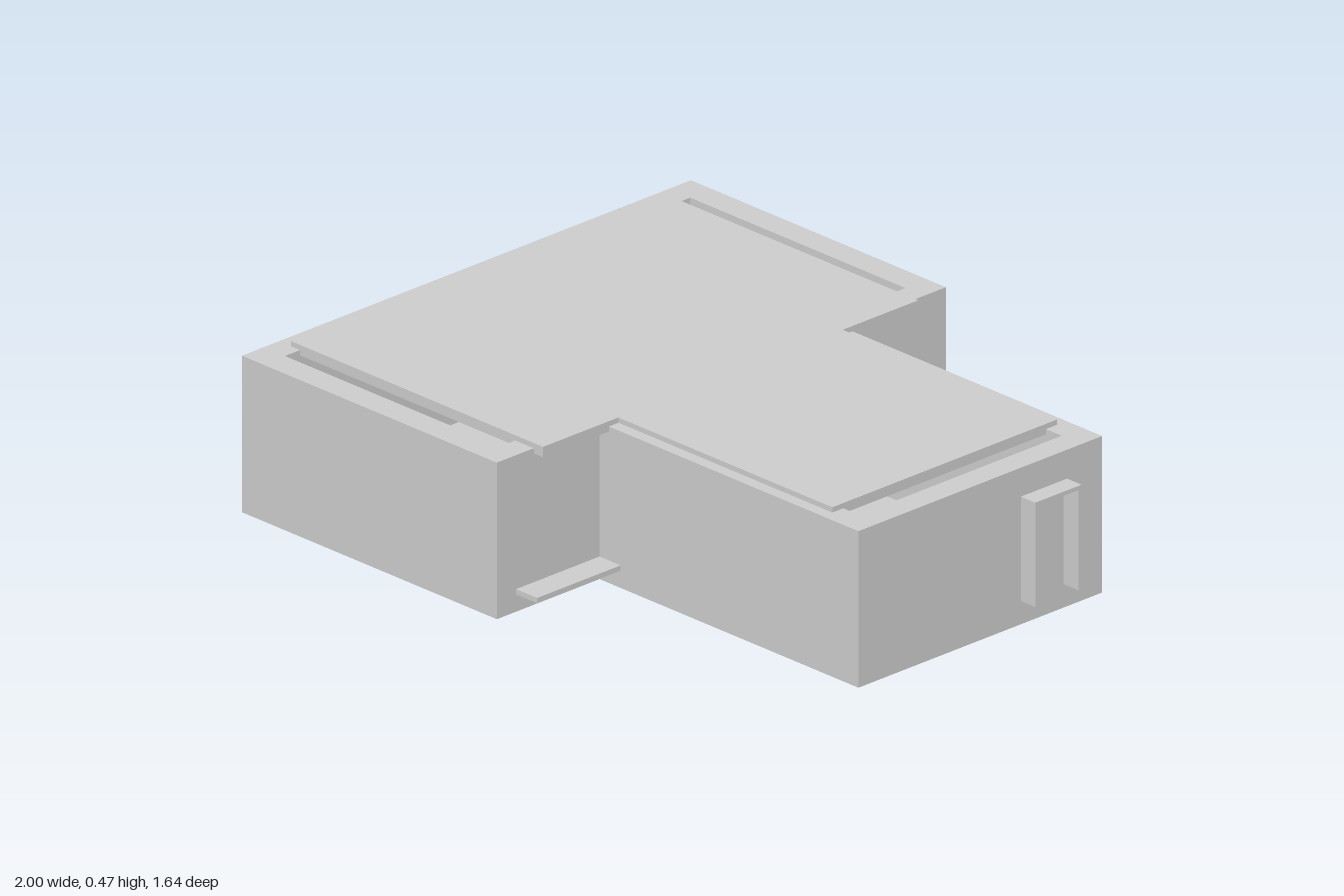
import * as THREE from 'three';

const material = new THREE.MeshStandardMaterial({ color: 0xcccccc, flatShading: true });

function add(group, name, geometry) {
  const mesh = new THREE.Mesh(geometry, material);
  mesh.name = name;
  group.add(mesh);
  return mesh;
}

// box given by its lower and upper corners
function box(group, name, [x0, y0, z0], [x1, y1, z1]) {
  add(group, name, new THREE.BoxGeometry(x1 - x0, y1 - y0, z1 - z0))
    .position.set((x0 + x1) / 2, (y0 + y1) / 2, (z0 + z1) / 2);
}

const toShape = (points) => new THREE.Shape(points.map(([x, y]) => new THREE.Vector2(x, y)));

// plan outline mirrored across z = 0 and raised from y0 to y1
function plan(group, name, half, y0, y1) {
  const mirrored = half.map(([x, z]) => [x, -z]).reverse();
  const geometry = new THREE.ExtrudeGeometry(toShape([...half, ...mirrored]), { depth: y1 - y0, bevelEnabled: false });
  geometry.rotateX(-Math.PI / 2).translate(0, y0, 0);
  add(group, name, geometry);
}

export function createModel() {
  const group = new THREE.Group();
  group.name = 'building';

  // outer wall of the T-shaped plan, open along the window side
  plan(group, 'outerWalls', [
    [0.87, 0.37], [-0.105, 0.37], [-0.105, 0.74], [-0.92, 0.74], [-0.92, 0.59], [-1, 0.59],
    [-1, 0.82], [-0.035, 0.82], [-0.035, 0.445], [0.945, 0.445],
  ], 0, 0.45);

  // roof and floor slabs
  plan(group, 'roof', [[0.81, 0.41], [0, 0.41], [0, 0.685], [-0.955, 0.685]], 0.435, 0.465);
  plan(group, 'floorWithLedges', [[0.9, 0.41], [0.045, 0.41], [0.045, 0.75], [-0.955, 0.75]], 0.05, 0.065);

  // window wall: recessed backing behind a pierced front panel with short feet
  box(group, 'windowBacking', [-0.955, 0.05, -0.59], [-0.92, 0.45, 0.59]);
  const half = [
    [0.19, 0.36], [0.19, 0], [0.22, 0], [0.22, 0.065], [0.39, 0.065], [0.39, 0],
    [0.42, 0], [0.42, 0.065], [0.59, 0.065], [0.59, 0.45],
  ];
  const panel = toShape([...half, ...half.map(([z, y]) => [-z, y]).reverse()]);
  for (const side of [-1, 1]) {
    for (const [a, b] of [[0.22, 0.39], [0.42, 0.58]]) {
      const hole = [[a, 0.17], [b, 0.17], [b, 0.36], [a, 0.36]];
      panel.holes.push(new THREE.Path(hole.map(([z, y]) => new THREE.Vector2(side * z, y))));
    }
  }
  const front = new THREE.ExtrudeGeometry(panel, { depth: 0.045, bevelEnabled: false });
  front.rotateY(-Math.PI / 2).translate(-0.955, 0, 0);
  add(group, 'windowPanel', front);

  // door frame passing through the end wall
  const frame = new THREE.Group();
  frame.name = 'doorFrame';
  box(frame, 'doorPostNear', [0.85, 0.067, -0.16], [1, 0.355, -0.148]);
  box(frame, 'doorPostFar', [0.85, 0.067, -0.317], [1, 0.355, -0.305]);
  box(frame, 'doorLintel', [0.85, 0.355, -0.317], [1, 0.367, -0.148]);
  group.add(frame);

  return group;
}
